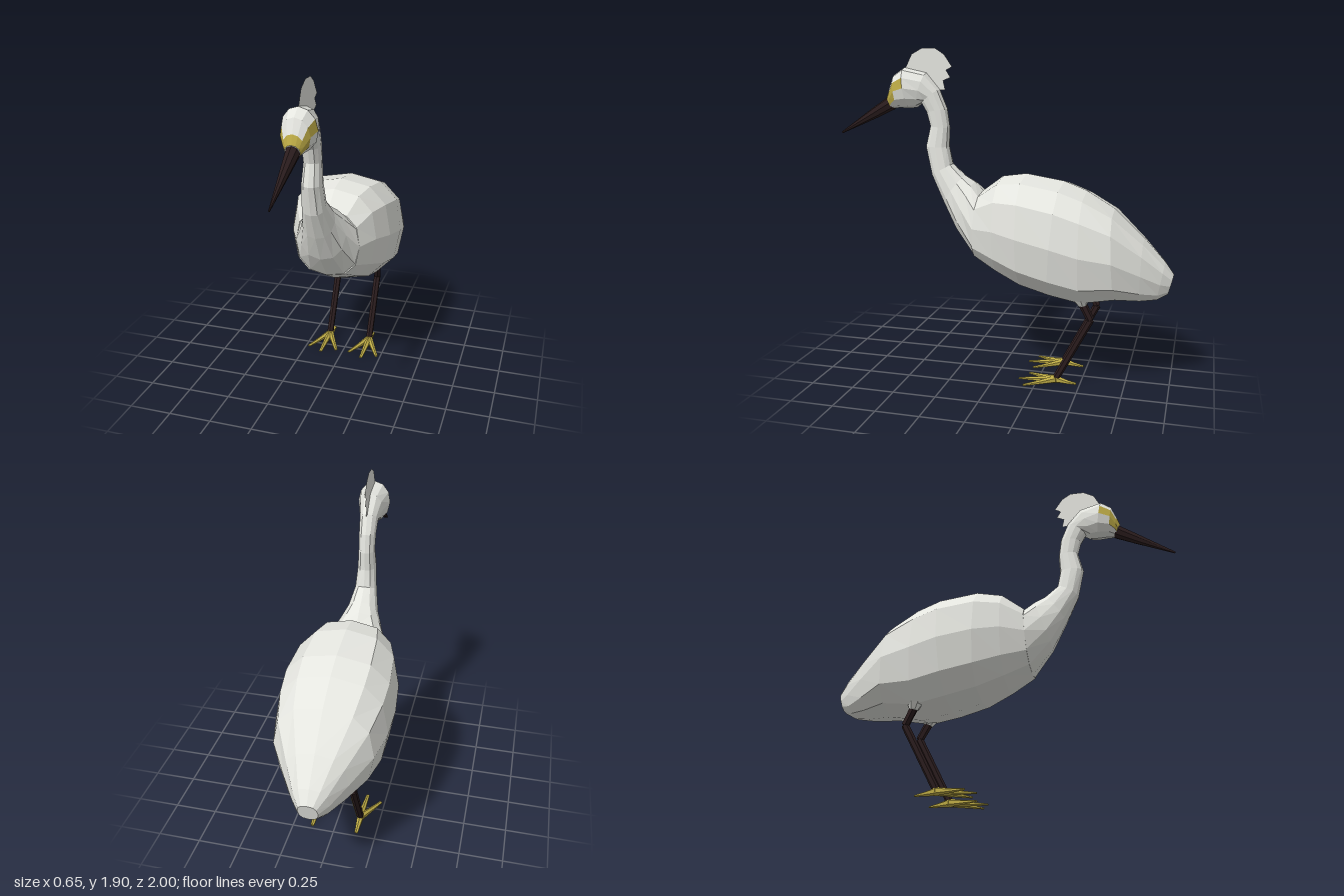
import * as THREE from 'three';

const mat = (name, color, side = THREE.FrontSide) => {
  const m = new THREE.MeshStandardMaterial({ color, side });
  m.name = name;
  return m;
};

// Lofts a closed skin through rings [topZ, topY, bottomZ, bottomY, halfWidth].
// Sides are faceted; pick(band, sector) returns a material group index.
function loft(rings, sides, power = 1, pick = () => 0) {
  const bend = (v) => Math.sign(v) * Math.pow(Math.abs(v), power);
  const point = ([tz, ty, bz, by, w], j) => {
    const a = (j / sides) * Math.PI * 2;
    const c = bend(Math.cos(a)) / 2;
    return new THREE.Vector3(
      bend(Math.sin(a)) * w, (ty + by) / 2 + c * (ty - by), (tz + bz) / 2 + c * (tz - bz));
  };
  const mid = ([tz, ty, bz, by]) => new THREE.Vector3(0, (ty + by) / 2, (tz + bz) / 2);
  const buckets = [[], []];
  const first = rings[0], last = rings[rings.length - 1];
  for (let j = 0; j < sides; j++) {
    for (let i = 0; i < rings.length - 1; i++) {
      const a = point(rings[i], j), b = point(rings[i], j + 1);
      const c = point(rings[i + 1], j), d = point(rings[i + 1], j + 1);
      buckets[pick(i, j)].push(a, c, b, b, c, d);
    }
    buckets[0].push(mid(first), point(first, j), point(first, j + 1));
    buckets[0].push(mid(last), point(last, j + 1), point(last, j));
  }
  const geo = new THREE.BufferGeometry().setFromPoints([...buckets[0], ...buckets[1]]);
  geo.addGroup(0, buckets[0].length, 0);
  if (buckets[1].length) geo.addGroup(buckets[0].length, buckets[1].length, 1);
  geo.computeVertexNormals();
  return geo;
}

// Faceted tapered rod between two points
function rod(a, b, ra, rb, sides) {
  const dir = b.clone().sub(a);
  const geo = new THREE.CylinderGeometry(rb, ra, dir.length(), sides).toNonIndexed();
  geo.computeVertexNormals();
  geo.applyQuaternion(new THREE.Quaternion().setFromUnitVectors(
    new THREE.Vector3(0, 1, 0), dir.normalize()));
  const m = a.clone().add(b).multiplyScalar(0.5);
  return geo.translate(m.x, m.y, m.z);
}

export function createModel() {
  const root = new THREE.Group();
  root.name = 'wadingBird';
  const white = mat('whiteFeathers', 0xe4e5df);
  const crestWhite = mat('crestFeathers', 0xe4e5df, THREE.DoubleSide);
  const yellow = mat('yellowSkin', 0xbcaa45);
  const dark = mat('darkHorn', 0x2a1c1d);
  const add = (parent, name, geo, material) => {
    const mesh = new THREE.Mesh(geo, material);
    mesh.name = name;
    parent.add(mesh);
    return mesh;
  };

  // Body from tail to chest
  const chest = [0.11, 1.09, 0.14, 0.70, 0.19];
  add(root, 'body', loft([
    [-1.0, 0.66, -0.97, 0.545, 0.055],
    [-0.95, 0.73, -0.91, 0.51, 0.10],
    [-0.83, 0.86, -0.82, 0.50, 0.175],
    [-0.66, 1.02, -0.69, 0.505, 0.275],
    [-0.50, 1.115, -0.50, 0.47, 0.315],
    [-0.37, 1.165, -0.32, 0.505, 0.325],
    [-0.15, 1.20, -0.15, 0.55, 0.305],
    [-0.01, 1.18, 0.0, 0.62, 0.255],
    chest,
  ], 12, 0.8), [white]);

  // Neck sweeping up from the chest
  const nape = [0.37, 1.67, 0.48, 1.59, 0.055];
  add(root, 'neck', loft([
    chest,
    [0.16, 1.14, 0.26, 0.85, 0.135],
    [0.22, 1.175, 0.345, 1.01, 0.092],
    [0.295, 1.24, 0.42, 1.17, 0.066],
    [0.315, 1.34, 0.457, 1.34, 0.056],
    [0.31, 1.45, 0.428, 1.46, 0.048],
    [0.325, 1.56, 0.45, 1.54, 0.05],
    nape,
  ], 12, 0.9), [white]);

  // Head with bare yellow skin running from the beak back to the eyes
  const skin = (band, sector) => {
    const k = Math.min(sector, 11 - sector);
    const yellowHere = (band === 2 && k === 2) || (band === 3 && (k === 2 || k === 3))
      || (band === 4 && k <= 3);
    return yellowHere ? 1 : 0;
  };
  add(root, 'head', loft([
    nape,
    [0.45, 1.765, 0.51, 1.565, 0.072],
    [0.585, 1.795, 0.55, 1.56, 0.096],
    [0.645, 1.755, 0.62, 1.562, 0.078],
    [0.675, 1.68, 0.65, 1.558, 0.055],
    [0.692, 1.63, 0.66, 1.556, 0.04],
  ], 12, 1, skin), [white, yellow]);

  // Beak
  add(root, 'beak', loft([
    [0.685, 1.63, 0.65, 1.553, 0.039],
    [0.80, 1.553, 0.765, 1.50, 0.026],
    [1.0, 1.412, 0.995, 1.402, 0.004],
  ], 8), [dark]);

  // Feather crest: a thin upright fan
  const crest = new THREE.Shape([
    [0.58, 1.79], [0.54, 1.87], [0.476, 1.905], [0.396, 1.905], [0.342, 1.87],
    [0.294, 1.80], [0.33, 1.78], [0.305, 1.74], [0.348, 1.72], [0.337, 1.668],
    [0.385, 1.668], [0.46, 1.74],
  ].map(([z, y]) => new THREE.Vector2(z, y)));
  add(root, 'crest', new THREE.ShapeGeometry(crest).rotateY(-Math.PI / 2), crestWhite);

  // Legs and feet, mirrored left and right
  const toe = (length) => loft([
    [-0.01, 0.05, -0.01, 0, 0.022],
    [length * 0.5, 0.026, length * 0.5, 0, 0.016],
    [length, 0.01, length, 0, 0.011],
  ], 6);
  for (const side of [1, -1]) {
    const leg = new THREE.Group();
    leg.name = side > 0 ? 'leftLeg' : 'rightLeg';
    root.add(leg);
    const hip = new THREE.Vector3(side * 0.145, 0.53, -0.49);
    const knee = new THREE.Vector3(side * 0.135, 0.40, -0.555);
    const ankle = new THREE.Vector3(side * 0.135, 0.035, -0.365);
    add(leg, 'thighFeathers', rod(new THREE.Vector3(side * 0.16, 0.62, -0.48),
      new THREE.Vector3(side * 0.145, 0.485, -0.51), 0.1, 0.026, 8), white);
    add(leg, 'upperLeg', rod(hip, knee, 0.025, 0.022, 6), dark);
    add(leg, 'lowerLeg', rod(knee, ankle, 0.022, 0.021, 6), dark);
    const foot = new THREE.Group();
    foot.name = 'foot';
    foot.position.set(side * 0.135, 0, -0.365);
    leg.add(foot);
    const toes = [['middleToe', 0.222, 0], ['outerToe', 0.2, 0.48 * side],
      ['innerToe', 0.2, -0.48 * side], ['backToe', 0.115, Math.PI]];
    for (const [name, length, turn] of toes) {
      add(foot, name, toe(length), [yellow]).rotation.y = turn;
    }
  }
  return root;
}
